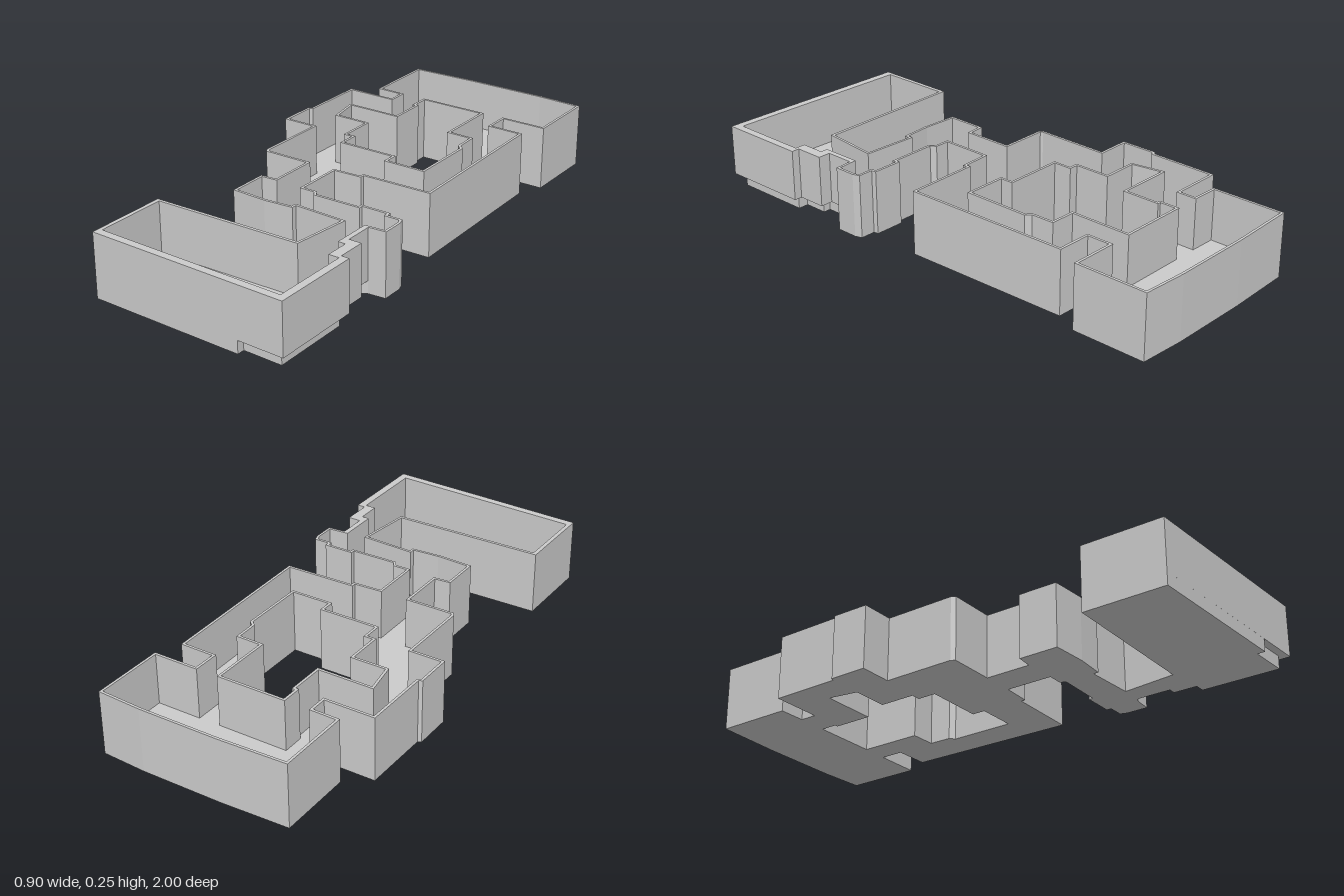
import * as THREE from 'three';

const FLOOR = 0.05, TOP = 0.25, THIN = 0.01;

// Outer outline of the building, [x, z, thickness of the wall that starts here]
const outer = [
  // back hall and right wing
  [-0.347, -0.99], [-0.08, -1], [0.24, -1], [0.418, -0.99], [0.418, -0.695], [0.24, -0.695],
  [0.24, -0.605], [0.376, -0.603], [0.389, 0.07], [0.11, 0.075], [0.11, 0.092], [-0.003, 0.097],
  // middle corridor
  [-0.003, 0.282], [0.055, 0.282], [0.068, 0.303], [0.246, 0.3], [0.246, 0.284], [0.366, 0.284],
  [0.368, 0.303], [0.428, 0.303], [0.437, 0.33], [0.437, 0.415],
  // front passage and front hall, with thicker walls
  [0.368, 0.42, 0.02], [0.368, 0.531, 0.035], [0.418, 0.531, 0.04], [0.418, 0.645, 0.015],
  [0.45, 0.645, 0.03], [0.45, 1, 0.03], [-0.36, 0.975, 0.016], [-0.36, 0.65, 0.012],
  [0.24, 0.642], [0.264, 0.43], [0.066, 0.42],
  // small room and left wing
  [0.066, 0.44], [-0.05, 0.448], [-0.193, 0.44], [-0.193, 0.282], [-0.13, 0.277], [-0.13, 0.096],
  [-0.315, 0.096], [-0.325, 0.08], [-0.323, -0.205], [-0.455, -0.205], [-0.455, -0.354],
  [-0.442, -0.36], [-0.439, -0.629], [-0.241, -0.629], [-0.241, -0.693], [-0.347, -0.695],
];

// Open courtyard in the middle
const courtyard = [
  [-0.124, -0.693], [0.135, -0.693], [0.135, -0.449], [0.236, -0.447], [0.238, -0.36],
  [0.257, -0.343], [0.257, -0.09], [0.103, -0.09], [0.103, -0.142], [-0.13, -0.142],
  [-0.13, -0.216], [-0.167, -0.216], [-0.167, -0.359], [-0.31, -0.359], [-0.33, -0.475],
  [-0.111, -0.475], [-0.111, -0.629], [-0.124, -0.629],
];

// Moves every edge sideways by its wall thickness and joins the corners
function offset(points, sign) {
  const n = points.length;
  const edges = points.map((p, i) => {
    const q = points[(i + 1) % n];
    const length = Math.hypot(q[0] - p[0], q[1] - p[1]);
    const nx = -(q[1] - p[1]) / length, nz = (q[0] - p[0]) / length;
    const t = sign * (p[2] ?? THIN);
    return { nx, nz, t };
  });
  return points.map((p, i) => {
    const a = edges[(i + n - 1) % n], b = edges[i];
    const det = a.nx * b.nz - a.nz * b.nx;
    if (Math.abs(det) < 1e-3) return [p[0] + b.nx * b.t, p[1] + b.nz * b.t];
    return [p[0] + (a.t * b.nz - b.t * a.nz) / det, p[1] + (a.nx * b.t - b.nx * a.t) / det];
  });
}

const toVectors = (points) => points.map(([x, z]) => new THREE.Vector2(x, z));

// Upright prism between two heights over an outline with one hole
function prism(name, outline, hole, bottom, top, material) {
  const shape = new THREE.Shape(toVectors(outline));
  shape.holes.push(new THREE.Path(toVectors(hole)));
  const geometry = new THREE.ExtrudeGeometry(shape, { depth: top - bottom, bevelEnabled: false });
  geometry.rotateX(Math.PI / 2).translate(0, top, 0);
  const mesh = new THREE.Mesh(geometry, material);
  mesh.name = name;
  return mesh;
}

export function createModel() {
  const group = new THREE.Group();
  group.name = 'floorPlan';
  const material = new THREE.MeshStandardMaterial({ color: 0xcccccc, flatShading: true });

  const inner = offset(outer, 1);

  // The floor slab is set back under the overhanging walls of the front right corner
  const slab = [
    ...outer.slice(0, 23), [0.348, 0.43], ...inner.slice(23, 28),
    [0.264, 0.964], [0.264, 0.994], ...outer.slice(28),
  ];

  group.add(
    prism('floorSlab', slab, courtyard, 0, FLOOR, material),
    prism('outerWalls', outer, inner, FLOOR, TOP, material),
    prism('courtyardWalls', offset(courtyard, -1), courtyard, FLOOR, TOP, material),
  );
  return group;
}
